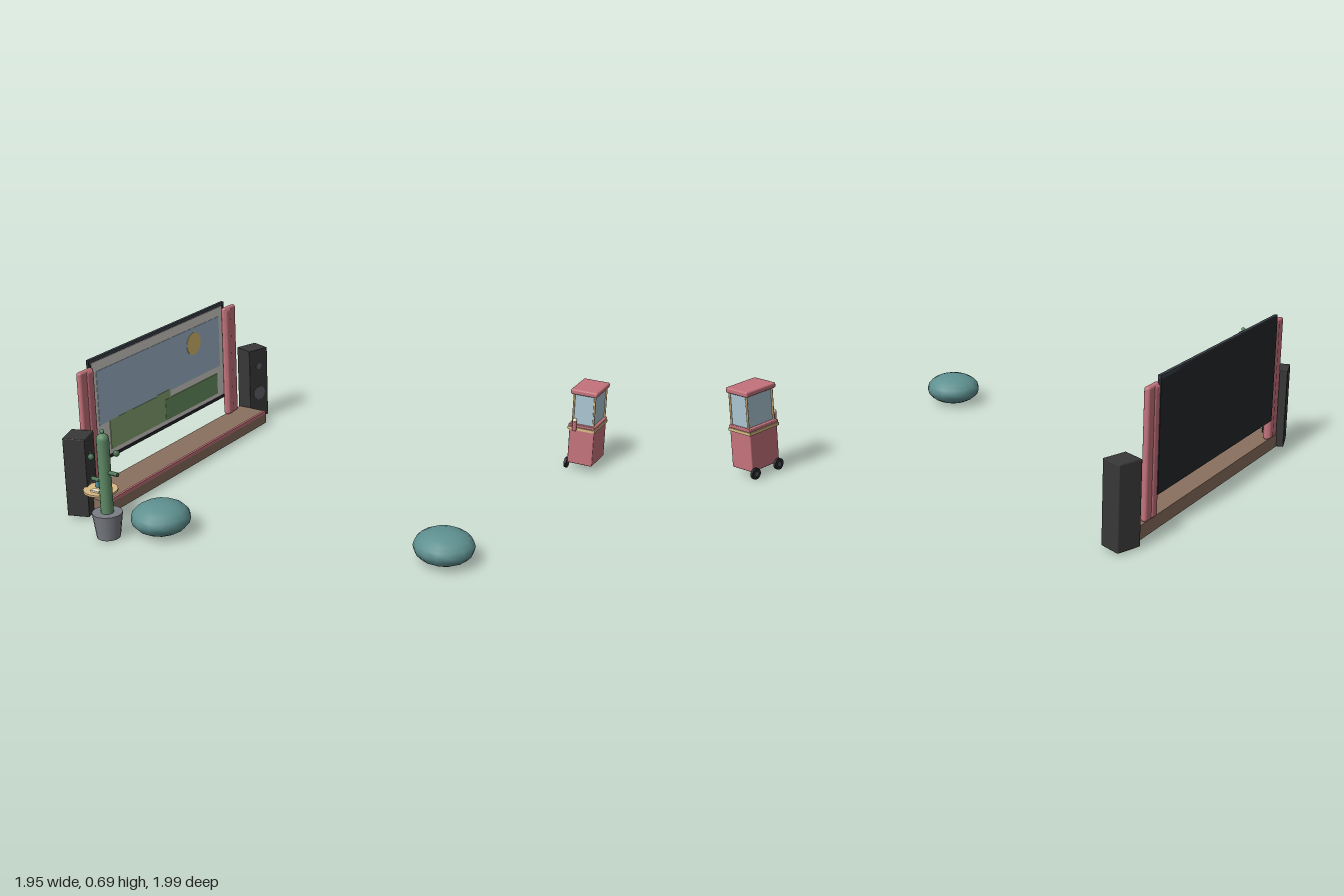
import * as THREE from 'three';
import { RoundedBoxGeometry } from 'three/addons/geometries/RoundedBoxGeometry.js';

const C = {
  pink: 0xc4737c, brown: 0x8a705f, black: 0x383838, dark: 0x25272c, frame: 0x3a4048, paper: 0xd8d5ce,
  sky: 0xa3bcd2, sun: 0xe0c070, lime: 0x8aa874, grass: 0x6b9564, teal: 0x5f9090, pot: 0x7a7d84,
  cactus: 0x5f8a66, cactusDark: 0x48704f, cream: 0xd8bb85, glass: 0xabc6d2, blue: 0x4f93a0, ivory: 0xeee2c4, cone: 0x5a5a62
};

export function createModel() {
  const root = new THREE.Group();

  const add = (parent, name, geometry, color, x, y, z) => {
    const mesh = new THREE.Mesh(geometry, new THREE.MeshStandardMaterial({ color: C[color] }));
    mesh.name = name;
    mesh.position.set(x, y, z);
    parent.add(mesh);
    return mesh;
  };
  // box given by its lower and upper corners
  const box = (parent, name, color, [x0, y0, z0], [x1, y1, z1], r = 0) => {
    const s = [x1 - x0, y1 - y0, z1 - z0];
    const g = r ? new RoundedBoxGeometry(...s, 2, r) : new THREE.BoxGeometry(...s);
    return add(parent, name, g, color, (x0 + x1) / 2, (y0 + y1) / 2, (z0 + z1) / 2);
  };
  const cyl = (rt, rb, h, n = 16) => new THREE.CylinderGeometry(rt, rb, h, n);
  const cylX = (r, h, n = 20) => cyl(r, r, h, n).rotateZ(Math.PI / 2);
  const ball = (r) => new THREE.SphereGeometry(r, 12, 8);
  const group = (name) => {
    const g = new THREE.Group();
    g.name = name;
    root.add(g);
    return g;
  };

  // low stage with a coloured trim along its front edge
  const stage = group('stage');
  box(stage, 'stagePlatform', 'brown', [-0.945, 0.01, -0.57], [-0.785, 0.075, 0.77]);
  box(stage, 'stageFront', 'brown', [-0.785, 0.01, -0.57], [-0.78, 0.063, 0.77]);
  box(stage, 'stageTrim', 'pink', [-0.79, 0.062, -0.565], [-0.778, 0.079, 0.765]);

  // projection screen with a flat landscape picture
  const screen = group('screen');
  box(screen, 'screenBack', 'dark', [-0.958, 0.175, -0.44], [-0.947, 0.69, 0.64]);
  box(screen, 'screenSheet', 'paper', [-0.947, 0.192, -0.422], [-0.944, 0.676, 0.624]);
  box(screen, 'screenTopBar', 'frame', [-0.958, 0.678, -0.44], [-0.943, 0.695, 0.64]);
  box(screen, 'screenBottomBar', 'dark', [-0.958, 0.175, -0.44], [-0.943, 0.19, 0.64]);
  for (const z of [-0.44, 0.63]) box(screen, 'screenSideBar', 'dark', [-0.958, 0.175, z], [-0.943, 0.69, z + 0.012]);
  box(screen, 'pictureSky', 'sky', [-0.944, 0.36, -0.39], [-0.942, 0.628, 0.595]);
  box(screen, 'pictureMeadow', 'lime', [-0.944, 0.215, 0.045], [-0.941, 0.362, 0.52]);
  for (const z of [0.055, 0.35]) box(screen, 'pictureHill', 'lime', [-0.944, 0.35, z], [-0.941, 0.368, z + 0.05 + (z < 0.1 ? 0.05 : 0)]);
  box(screen, 'pictureGrass', 'grass', [-0.944, 0.215, -0.36], [-0.94, 0.325, 0.09]);
  add(screen, 'pictureSun', cylX(0.058, 0.003, 32), 'sun', -0.941, 0.545, -0.165);

  // curtains and angled speakers, mirrored about the stage centre
  for (const side of [-1, 1]) {
    const z = 0.105 + side * 0.577;
    const curtain = group('curtain');
    box(curtain, 'curtainPanel', 'pink', [-0.95, 0.075, z - 0.049], [-0.922, 0.663, z + 0.049], 0.012);
    box(curtain, 'curtainFold', 'pink', [-0.955, 0.075, z - side * 0.02 - 0.026], [-0.916, 0.658, z - side * 0.02 + 0.026], 0.014);

    const speaker = group('speaker');
    box(speaker, 'speakerCabinet', 'black', [-0.0525, 0.01, -0.06], [0.0525, 0.393, 0.06], 0.004);
    add(speaker, 'tweeter', cylX(0.017, 0.006), 'cone', 0.053, 0.3, 0);
    add(speaker, 'woofer', cylX(0.037, 0.006), 'cone', 0.053, 0.148, 0);
    speaker.position.set(-0.908, 0, 0.073 + side * 0.718);
    speaker.rotation.y = side * 0.33;
  }

  // small floating tray with a bottle and a box
  const tray = group('tray');
  add(tray, 'trayTop', cyl(0.079, 0.079, 0.01, 20), 'cream', -0.775, 0.158, 0.815);
  add(tray, 'bottle', cyl(0.009, 0.009, 0.04, 12), 'blue', -0.8, 0.183, 0.805);
  box(tray, 'snackBox', 'ivory', [-0.795, 0.163, 0.837], [-0.75, 0.171, 0.863]);

  // potted cactus with two arms
  const plant = group('pottedCactus');
  add(plant, 'pot', cyl(0.069, 0.053, 0.12, 14), 'pot', 0, 0.06, 0);
  add(plant, 'cactusStem', new THREE.CapsuleGeometry(0.029, 0.36, 6, 12), 'cactus', 0, 0.288, 0);
  add(plant, 'cactusBud', ball(0.01), 'cactus', 0, 0.505, 0);
  for (const [side, y] of [[-1, 0.267], [1, 0.315]]) {
    add(plant, 'cactusArm', cylX(0.01, 0.055, 10), 'cactusDark', side * 0.046, y, 0);
    add(plant, 'cactusArmTip', ball(0.015), 'cactusDark', side * 0.072, y + 0.102, 0);
  }
  plant.position.set(-0.653, 0, 0.923);

  // two flattened bean bags
  for (const [x, z] of [[-0.473, 0.772], [0.752, 0.397]]) {
    add(root, 'beanBag', new THREE.SphereGeometry(0.136, 14, 10).scale(1, 0.55, 1), 'teal', x, 0.076, z);
  }

  // snack cart: body, shelf, glass case, posts, roof and wheels
  const cart = group('snackCart');
  box(cart, 'cartBody', 'pink', [0.84, 0.037, -0.985], [0.968, 0.24, -0.812], 0.005);
  box(cart, 'cartBand', 'cream', [0.834, 0.216, -0.99], [0.972, 0.23, -0.806]);
  box(cart, 'cartShelf', 'pink', [0.836, 0.23, -0.988], [0.97, 0.245, -0.808], 0.004);
  box(cart, 'cartGlass', 'glass', [0.856, 0.245, -0.977], [0.958, 0.4, -0.822]);
  for (const x of [0.854, 0.96]) {
    for (const z of [-0.979, -0.82]) add(cart, 'cartPost', cyl(0.005, 0.005, 0.157, 8), 'cream', x, 0.322, z);
  }
  box(cart, 'cartRoof', 'pink', [0.836, 0.398, -0.993], [0.972, 0.424, -0.808], 0.008);
  for (const z of [-0.973, -0.826]) add(cart, 'cartWheel', cylX(0.027, 0.012), 'dark', 0.833, 0.03, z);
  for (const z of [-0.973, -0.826]) add(cart, 'wheelHub', cylX(0.01, 0.016, 12), 'cone', 0.833, 0.03, z);
  add(cart, 'popcornCup', cyl(0.012, 0.01, 0.05, 12), 'pink', 0.873, 0.243, -0.795);
  add(cart, 'popcorn', ball(0.011), 'ivory', 0.873, 0.272, -0.795);

  return root;
}
